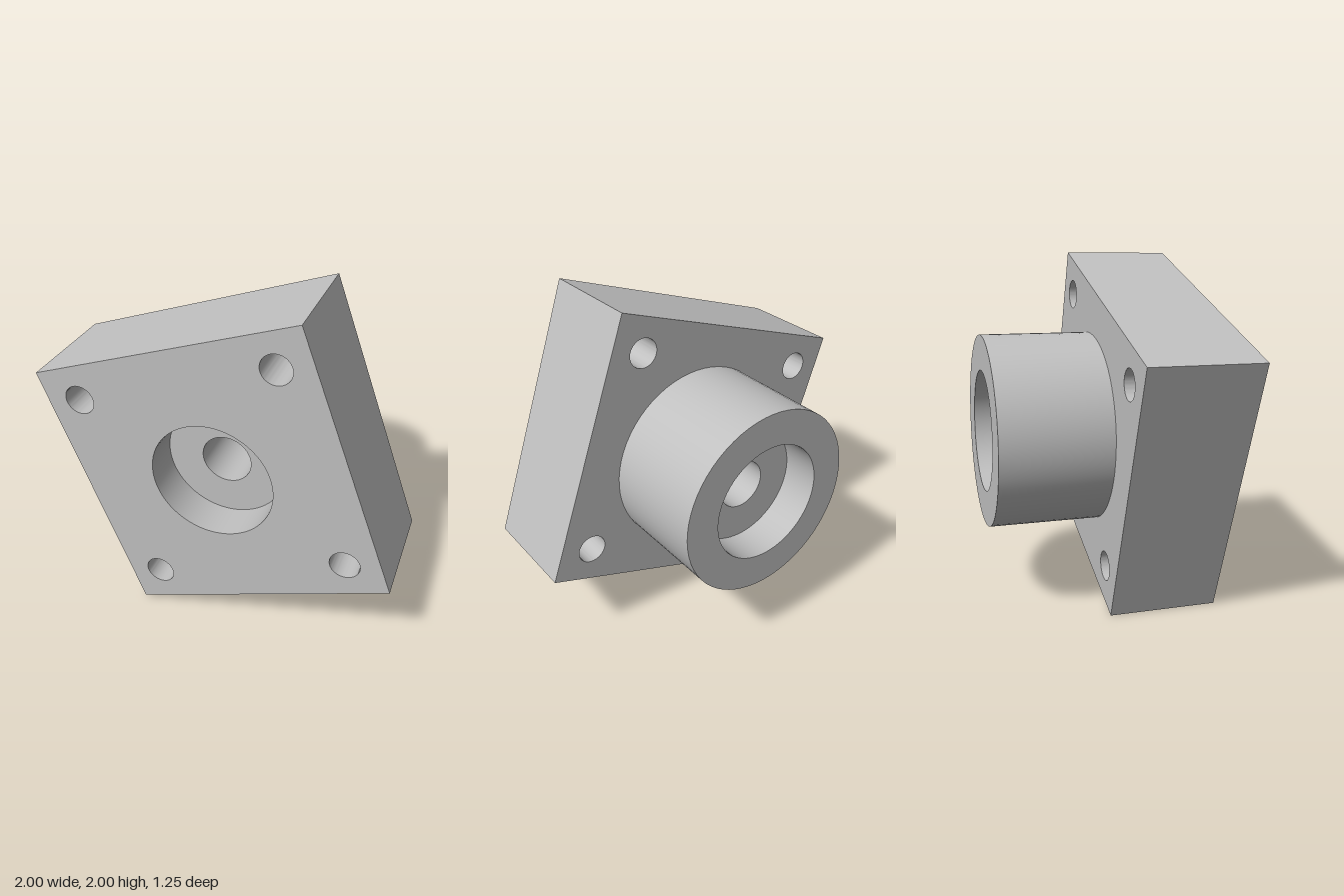
import * as THREE from 'three';
import { toCreasedNormals } from 'three/addons/utils/BufferGeometryUtils.js';

const HALF = 0.78, DEPTH = 0.624, TILT = THREE.MathUtils.degToRad(20);
const BORE = 0.142, POCKET = 0.345, BOSS = 0.545, WEB = 0.404;

function circle(x, y, r) {
  return new THREE.Path().absarc(x, y, r, 0, Math.PI * 2, true);
}

export function createModel() {
  const metal = new THREE.MeshStandardMaterial({ color: 0xc0c0c0 });
  metal.name = 'grey metal';
  const model = new THREE.Group();
  model.name = 'flangedHousing';
  const add = (name, geometry) => {
    const mesh = new THREE.Mesh(toCreasedNormals(geometry, 0.5), metal);
    mesh.name = name;
    mesh.position.y = 1;
    model.add(mesh);
    return mesh;
  };

  // Square flange with four bolt holes and a central pocket
  const outline = new THREE.Shape([[-1, -1], [1, -1], [1, 1], [-1, 1]]
    .map(([x, y]) => new THREE.Vector2(x * HALF, y * HALF)));
  outline.holes.push(circle(0, 0, POCKET));
  for (const x of [-0.584, 0.584]) {
    for (const y of [-0.584, 0.584]) outline.holes.push(circle(x, y, 0.084));
  }
  const plate = add('flangePlate', new THREE.ExtrudeGeometry(outline, {
    depth: DEPTH, bevelEnabled: false, curveSegments: 32,
  }));
  plate.rotation.z = TILT;

  // Rear boss, its pocket, and the bored web between the two pockets
  const profile = [
    [POCKET + 0.004, WEB], [BORE, WEB], [BORE, -WEB], [POCKET, -WEB],
    [POCKET, -DEPTH], [BOSS, -DEPTH], [BOSS, 0],
  ].map(([r, z]) => new THREE.Vector2(r, z));
  add('bossAndWeb', new THREE.LatheGeometry(profile, 64).rotateX(Math.PI / 2));

  return model;
}
